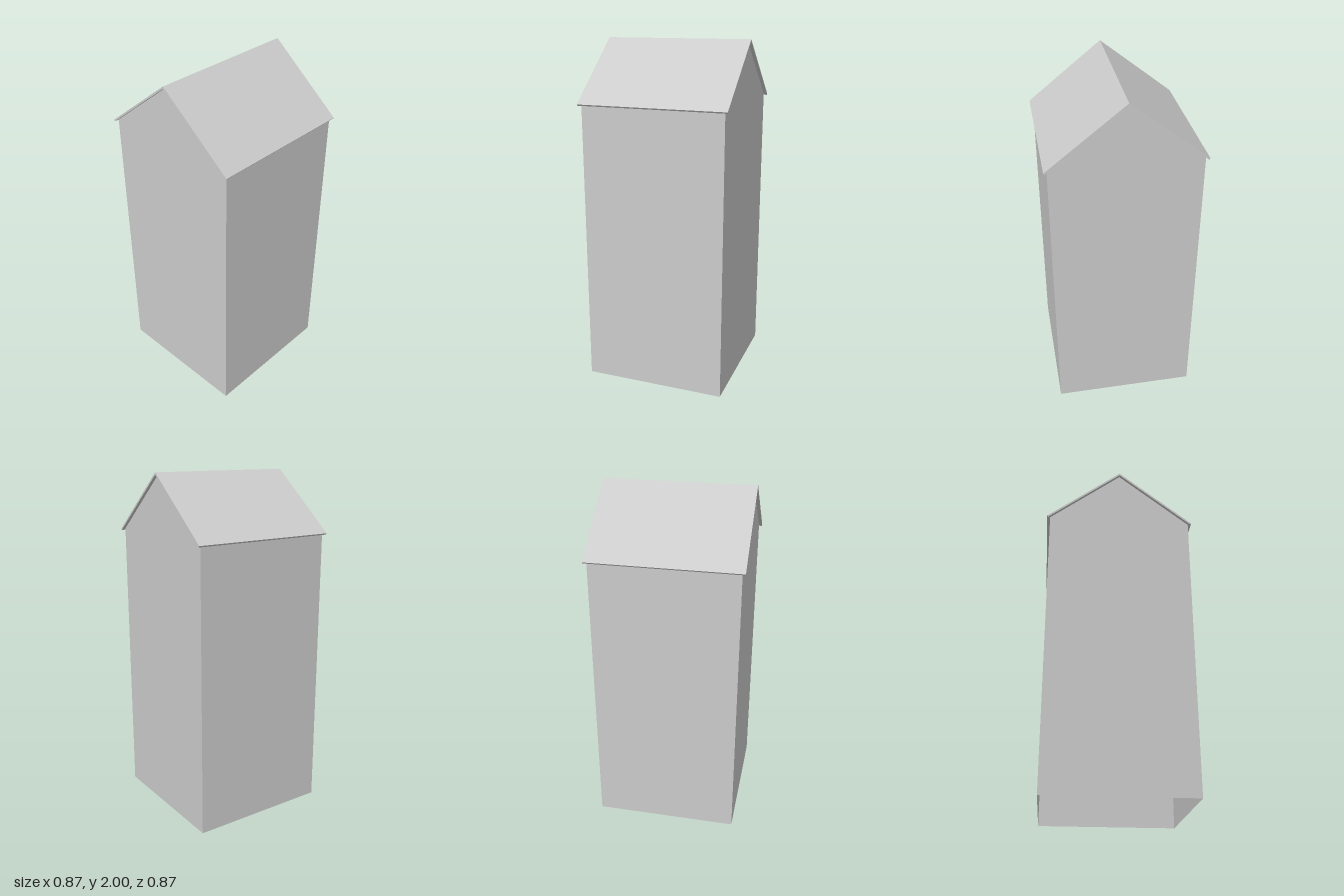
import * as THREE from 'three';

const HALF = 0.415;        // half width of the walls
const ROOF_HALF = 0.433;   // half width of the roof with its overhang
const RIDGE = 2;           // top of the roof
const EAVE = 1.655;        // upper edge of the eaves
const THICK = 0.01;        // roof board thickness

export function createModel() {
  const model = new THREE.Group();
  model.name = 'gabledTower';
  const material = new THREE.MeshStandardMaterial({
    color: 0xcccccc, flatShading: true, side: THREE.DoubleSide,
  });
  const add = (name, geometry) => {
    const mesh = new THREE.Mesh(geometry, material);
    mesh.name = name;
    model.add(mesh);
    return mesh;
  };
  const outline = (points) => new THREE.Shape(points.map(([x, y]) => new THREE.Vector2(x, y)));

  // Underside of the roof, which the walls meet
  const slope = (RIDGE - EAVE) / ROOF_HALF;
  const length = Math.hypot(slope, 1);
  const innerRidge = RIDGE - THICK * length;
  const wallTop = innerRidge - slope * HALF;

  // Thin walls, open at the bottom: plain front and back, gabled sides
  const gable = outline([[-HALF, 0], [HALF, 0], [HALF, wallTop], [0, innerRidge], [-HALF, wallTop]]);
  for (const [side, sign] of [['front', 1], ['back', -1]]) {
    const wall = add(side + 'Wall', new THREE.PlaneGeometry(2 * HALF, wallTop));
    wall.position.set(0, wallTop / 2, sign * HALF);
    wall.rotation.y = sign > 0 ? 0 : Math.PI;
  }
  for (const [side, sign] of [['left', 1], ['right', -1]]) {
    const wall = add(side + 'GableWall', new THREE.ShapeGeometry(gable));
    wall.position.x = sign * HALF;
    wall.rotation.y = sign * Math.PI / 2;
  }

  // Folded roof board with eaves cut square to the slope
  const lipX = ROOF_HALF - THICK * slope / length;
  const lipY = EAVE - THICK / length;
  const chevron = outline([
    [-ROOF_HALF, EAVE], [-lipX, lipY], [0, innerRidge],
    [lipX, lipY], [ROOF_HALF, EAVE], [0, RIDGE],
  ]);
  const roof = add('roof', new THREE.ExtrudeGeometry(chevron, { depth: 2 * ROOF_HALF, bevelEnabled: false }));
  roof.rotation.y = Math.PI / 2;
  roof.position.x = -ROOF_HALF;

  return model;
}
